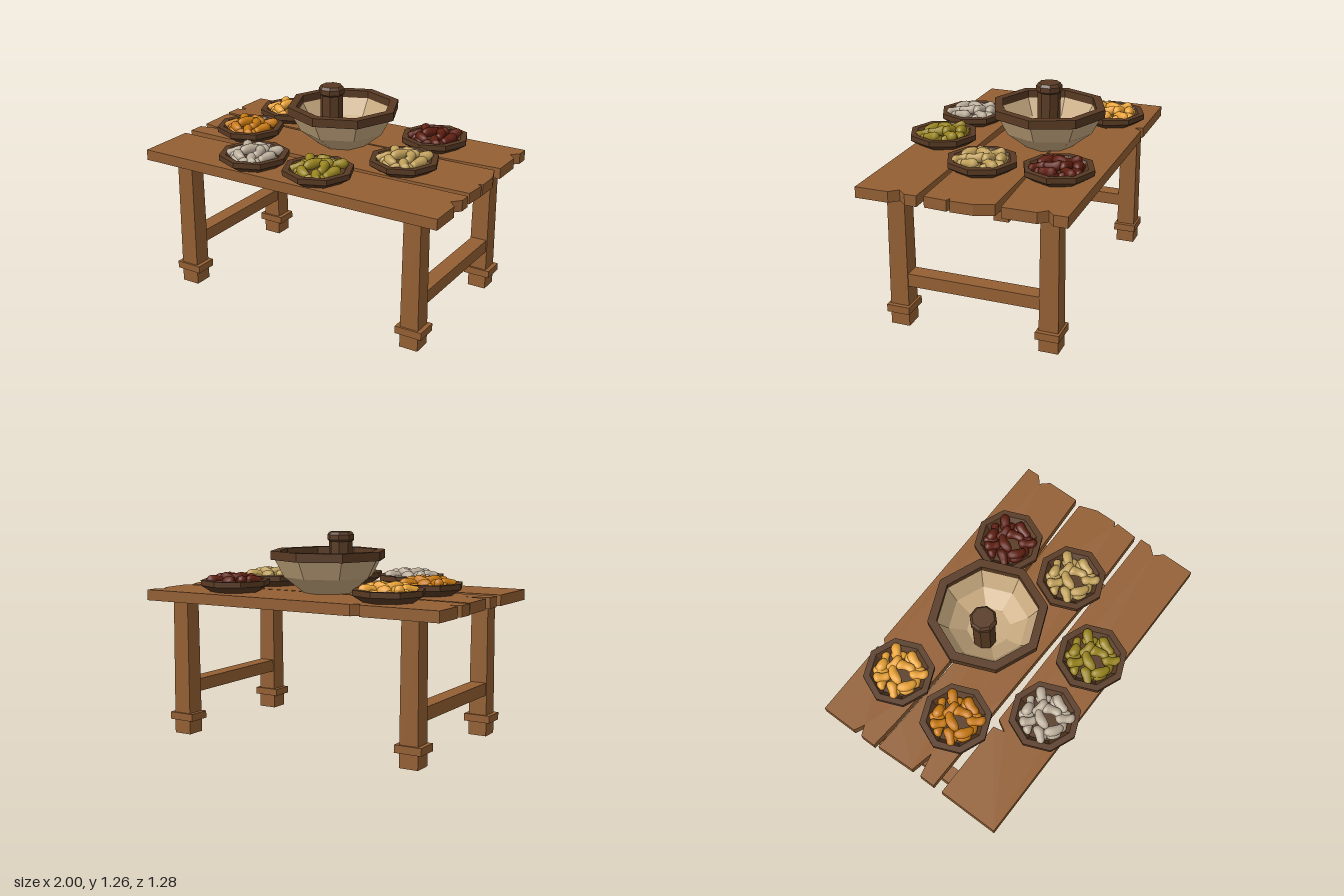
import * as THREE from 'three';

const flat = (color) => new THREE.MeshStandardMaterial({ color, flatShading: true });
const wood = flat(0x935f33);
const darkWood = flat(0x583a23);
const cream = flat(0xc8aa80);

function add(parent, name, geometry, material, x = 0, y = 0, z = 0) {
  const mesh = new THREE.Mesh(geometry, material);
  mesh.name = name;
  mesh.position.set(x, y, z);
  parent.add(mesh);
  return mesh;
}

// Eight-sided turned piece from [radius, height] pairs
const turned = (profile) =>
  new THREE.LatheGeometry(profile.map(([r, y]) => new THREE.Vector2(r, y)), 8);

// Plank cut from an [x, z] outline
function plank(outline) {
  const shape = new THREE.Shape(outline.map(([x, z]) => new THREE.Vector2(x, -z)));
  const geo = new THREE.ExtrudeGeometry(shape, { depth: 0.065, bevelEnabled: false });
  return geo.rotateX(-Math.PI / 2);
}

const PLANKS = {
  backPlank: [
    [-1, -0.64], [-0.52, -0.64], [-0.5, -0.595], [-0.46, -0.64], [0.98, -0.64], [0.98, -0.56],
    [0.935, -0.52], [0.98, -0.47], [0.98, -0.27], [0.3, -0.235], [-0.45, -0.24], [-0.8, -0.255],
    [-1, -0.27], [-1, -0.365], [-0.94, -0.39], [-1, -0.42],
  ],
  middlePlank: [
    [-0.99, -0.245], [-0.8, -0.235], [-0.3, -0.215], [0.3, -0.225], [0.96, -0.23], [1, -0.12],
    [1, 0.015], [0.97, 0.025], [1, 0.035], [0.99, 0.17], [0.5, 0.18], [-0.3, 0.16],
    [-0.98, 0.15], [-0.98, 0.055], [-0.84, 0.025], [-0.98, -0.005],
  ],
  frontPlank: [
    [-0.98, 0.21], [-0.5, 0.21], [-0.485, 0.28], [-0.445, 0.21], [1, 0.21], [1, 0.28],
    [0.955, 0.33], [1, 0.38], [1, 0.58], [-0.98, 0.58],
  ],
};

// Lumpy nugget lying along x
function nugget(length, radius, seed) {
  const geo = new THREE.CapsuleGeometry(radius, length, 4, 10, 4).rotateZ(Math.PI / 2);
  const p = geo.attributes.position;
  for (let i = 0; i < p.count; i++) {
    const x = p.getX(i);
    const swell = 1 + 0.14 * Math.sin(x * 60 + seed * 2.1);
    p.setXYZ(i, x, p.getY(i) * swell, p.getZ(i) * swell + 0.01 * Math.sin(x * 28 + seed));
  }
  geo.computeVertexNormals();
  return geo;
}

// Top layer of nuggets: x, z, turn, length
const PIECES = [
  [0.08, -0.08, 1.1, 0.07], [-0.03, -0.11, 0.3, 0.03], [-0.08, -0.06, -0.9, 0.05],
  [-0.11, 0.04, 0.6, 0.05], [-0.03, 0.0, 0.9, 0.07], [0.04, 0.02, -1.2, 0.06],
  [0.11, 0.03, 1.5, 0.06], [-0.04, 0.09, -0.4, 0.06], [0.06, 0.1, -1.0, 0.06],
  [0.02, -0.05, -0.5, 0.05],
];

function servingBowl(name, x, z, color, tilt) {
  const bowl = new THREE.Group();
  bowl.name = name;
  bowl.position.set(x, 0.895, z);
  add(bowl, 'dish', turned([
    [0, 0], [0.15, 0], [0.21, 0.038], [0.21, 0.07], [0.172, 0.07], [0.14, 0.03], [0, 0.03],
  ]), darkWood);

  const food = new THREE.Group();
  food.name = 'food';
  food.position.y = 0.055;
  food.rotation.x = tilt;
  bowl.add(food);
  const material = new THREE.MeshStandardMaterial({ color });
  PIECES.forEach(([px, pz, turn, length], i) => {
    const lift = 0.03 - 1.3 * (px * px + pz * pz);
    const piece = add(food, 'nugget', nugget(length, 0.028, i), material, px, lift, pz);
    piece.rotation.set(0, turn, 0.12 * Math.sin(i * 2.3));
  });
  // Lower ring of nuggets
  for (let i = 0; i < 9; i++) {
    const a = (i / 9) * Math.PI * 2;
    const piece = add(food, 'nugget', nugget(0.04, 0.026, i + 4), material,
      0.11 * Math.cos(a), -0.005, 0.11 * Math.sin(a));
    piece.rotation.y = a * 2.7;
  }
  return bowl;
}

export function createModel() {
  const model = new THREE.Group();
  model.name = 'tableWithBowls';

  // Table top
  for (const [name, outline] of Object.entries(PLANKS)) {
    add(model, name, plank(outline), wood, 0, 0.83, 0);
  }

  // Legs with foot collars, and a stretcher at each end
  for (const [side, x] of [['right', -0.782], ['left', 0.796]]) {
    for (const [end, z] of [['Front', 0.413], ['Back', -0.496]]) {
      const leg = new THREE.CylinderGeometry(0.053 * Math.SQRT2, 0.058 * Math.SQRT2, 0.83, 4);
      add(model, side + end + 'Leg', leg.rotateY(Math.PI / 4), wood, x, 0.415, z);
      add(model, side + end + 'Collar', new THREE.BoxGeometry(0.168, 0.045, 0.14), wood, x, 0.108, z);
    }
    add(model, side + 'Stretcher', new THREE.BoxGeometry(0.1, 0.078, 0.82), wood, x, 0.293, -0.041);
  }

  // Large mixing bowl: pale body, dark rim
  const mortar = new THREE.Group();
  mortar.name = 'largeBowl';
  mortar.position.set(-0.037, 0, -0.177);
  model.add(mortar);
  add(mortar, 'body', turned([
    [0, 0.895], [0.15, 0.895], [0.27, 0.99], [0.328, 1.1],
    [0.297, 1.1], [0.235, 1.0], [0.13, 0.93], [0, 0.925],
  ]), cream);
  add(mortar, 'rim', turned([
    [0.297, 1.095], [0.35, 1.095], [0.35, 1.147], [0.297, 1.147], [0.297, 1.095],
  ]), darkWood);

  // Pestle with a thicker chamfered head
  add(model, 'pestle', turned([
    [0, 0.92], [0.07, 0.92], [0.07, 1.2], [0.08, 1.21], [0.08, 1.24], [0.066, 1.257], [0, 1.257],
  ]), darkWood, -0.107, 0, -0.153).rotation.y = Math.PI / 8;

  // Serving bowls
  const servings = [
    ['yellowBowl', -0.58, -0.417, 0xeba437, 0],
    ['redBowl', 0.475, -0.417, 0x5e1e10, 0],
    ['orangeBowl', -0.603, 0.02, 0xc97a10, 0],
    ['tanBowl', 0.506, 0.032, 0xc0a05a, 0],
    ['whiteBowl', -0.285, 0.42, 0xbcae9b, 0],
    ['oliveBowl', 0.165, 0.426, 0x98841e, 0.1],
  ];
  for (const s of servings) model.add(servingBowl(...s));

  return model;
}
